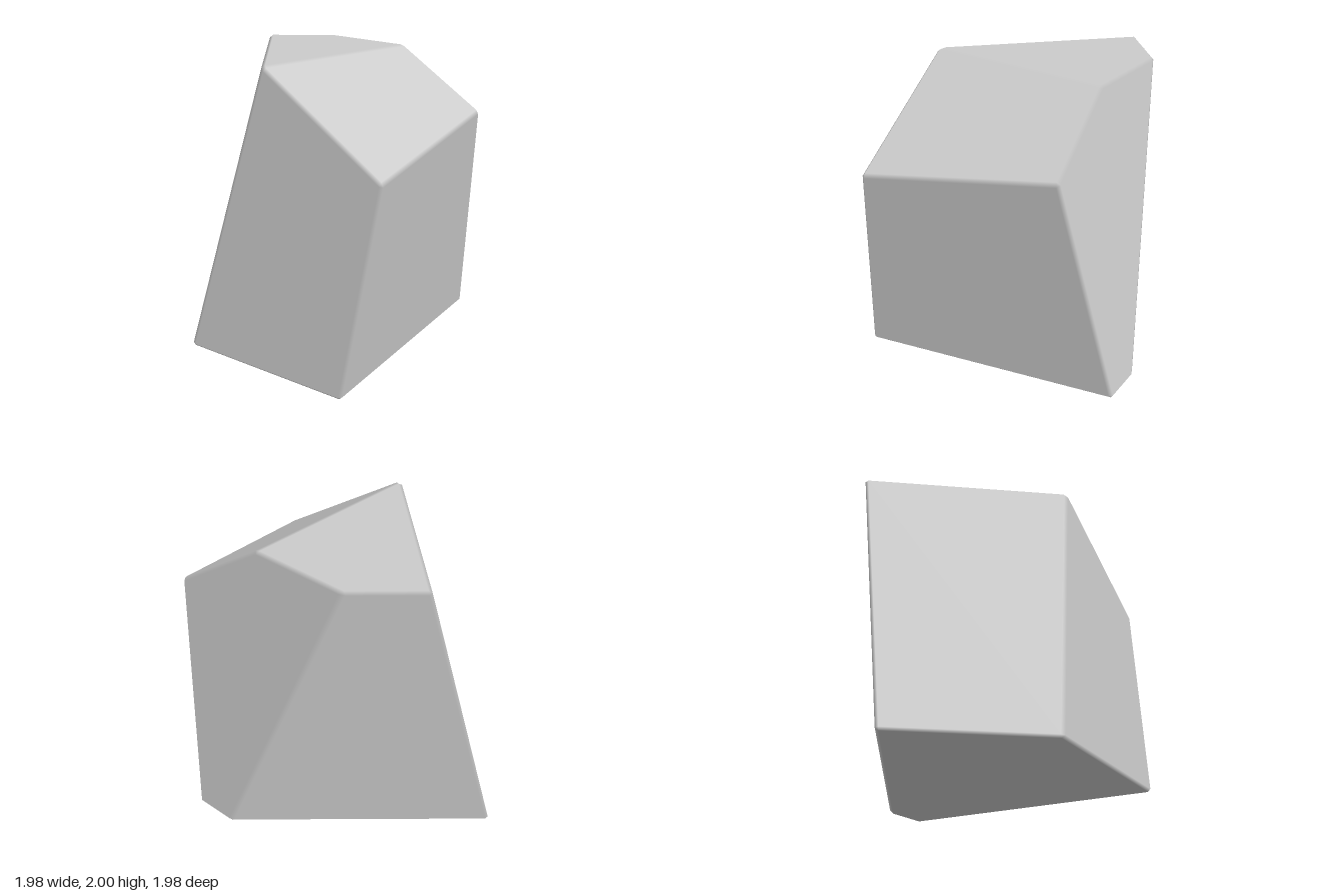
import * as THREE from 'three';

const BEVEL = 0.02;

// Corner points: 0-3 top rim, 4-5 shoulders, 6-10 base
const CORNERS = [
  [-0.46, 2, 0.4], [-0.46, 2, -1], [0.03, 2, -0.97], [0.51, 2, -0.48],
  [0.25, 1.41, 1], [1, 1.6, -0.1],
  [0.01, 0, 1], [1, 0, -0.5], [0.78, 0, -0.71], [-1, 0, -0.82], [-1, 0, 0.22],
].map((p) => new THREE.Vector3(...p));

// Facets as loops of corners, each seen counter-clockwise from outside
const FACETS = [
  [0, 3, 2, 1],      // top
  [0, 4, 5, 3],      // front slope
  [0, 10, 6, 4],     // front, right half
  [4, 6, 7, 5],      // front, left half
  [5, 7, 8, 2, 3],   // left side
  [2, 8, 9, 1],      // back
  [1, 9, 10, 0],     // right side
  [6, 10, 9, 8, 7],  // base
];

// Faceted solid whose edges and corners get a narrow bevel with blended normals
function beveledSolid(corners, facets, bevel) {
  const positions = [], normals = [], index = [];
  const ids = facets.map(() => ({}));   // ids[facet][corner] -> vertex number
  const owner = {};                     // directed edge -> facet
  const fan = (loop) => {
    for (let i = 1; i < loop.length - 1; i++) index.push(loop[0], loop[i], loop[i + 1]);
  };

  // Inset each facet in its own plane
  facets.forEach((loop, f) => {
    const n = loop.length;
    const normal = new THREE.Vector3();
    loop.forEach((c, i) => normal.add(corners[c].clone().cross(corners[loop[(i + 1) % n]])));
    normal.normalize();
    loop.forEach((c, i) => {
      const next = loop[(i + 1) % n], prev = loop[(i + n - 1) % n];
      const a = corners[next].clone().sub(corners[c]).normalize();
      const b = corners[prev].clone().sub(corners[c]).normalize();
      const sine = a.clone().cross(b).length();
      const p = a.add(b).multiplyScalar(bevel / sine).add(corners[c]);
      ids[f][c] = positions.length / 3;
      positions.push(p.x, p.y, p.z);
      normals.push(normal.x, normal.y, normal.z);
      owner[c + '>' + next] = f;
    });
    fan(loop.map((c) => ids[f][c]));
  });

  // Strips along the edges
  for (const key of Object.keys(owner)) {
    const [a, b] = key.split('>').map(Number);
    if (a > b) continue;
    const f = owner[key], g = owner[b + '>' + a];
    fan([ids[f][b], ids[f][a], ids[g][a], ids[g][b]]);
  }

  // Caps on the corners, walking from facet to facet
  corners.forEach((_, c) => {
    const start = facets.findIndex((loop) => loop.includes(c));
    const cap = [];
    let f = start;
    do {
      cap.push(ids[f][c]);
      const loop = facets[f];
      const prev = loop[(loop.indexOf(c) + loop.length - 1) % loop.length];
      f = owner[c + '>' + prev];
    } while (f !== start);
    fan(cap);
  });

  const geometry = new THREE.BufferGeometry();
  geometry.setAttribute('position', new THREE.Float32BufferAttribute(positions, 3));
  geometry.setAttribute('normal', new THREE.Float32BufferAttribute(normals, 3));
  geometry.setIndex(index);
  return geometry;
}

export function createModel() {
  const group = new THREE.Group();
  group.name = 'boulder';
  const rock = new THREE.Mesh(
    beveledSolid(CORNERS, FACETS, BEVEL),
    new THREE.MeshStandardMaterial({ color: 0xcccccc })
  );
  rock.name = 'rock';
  group.add(rock);
  return group;
}
